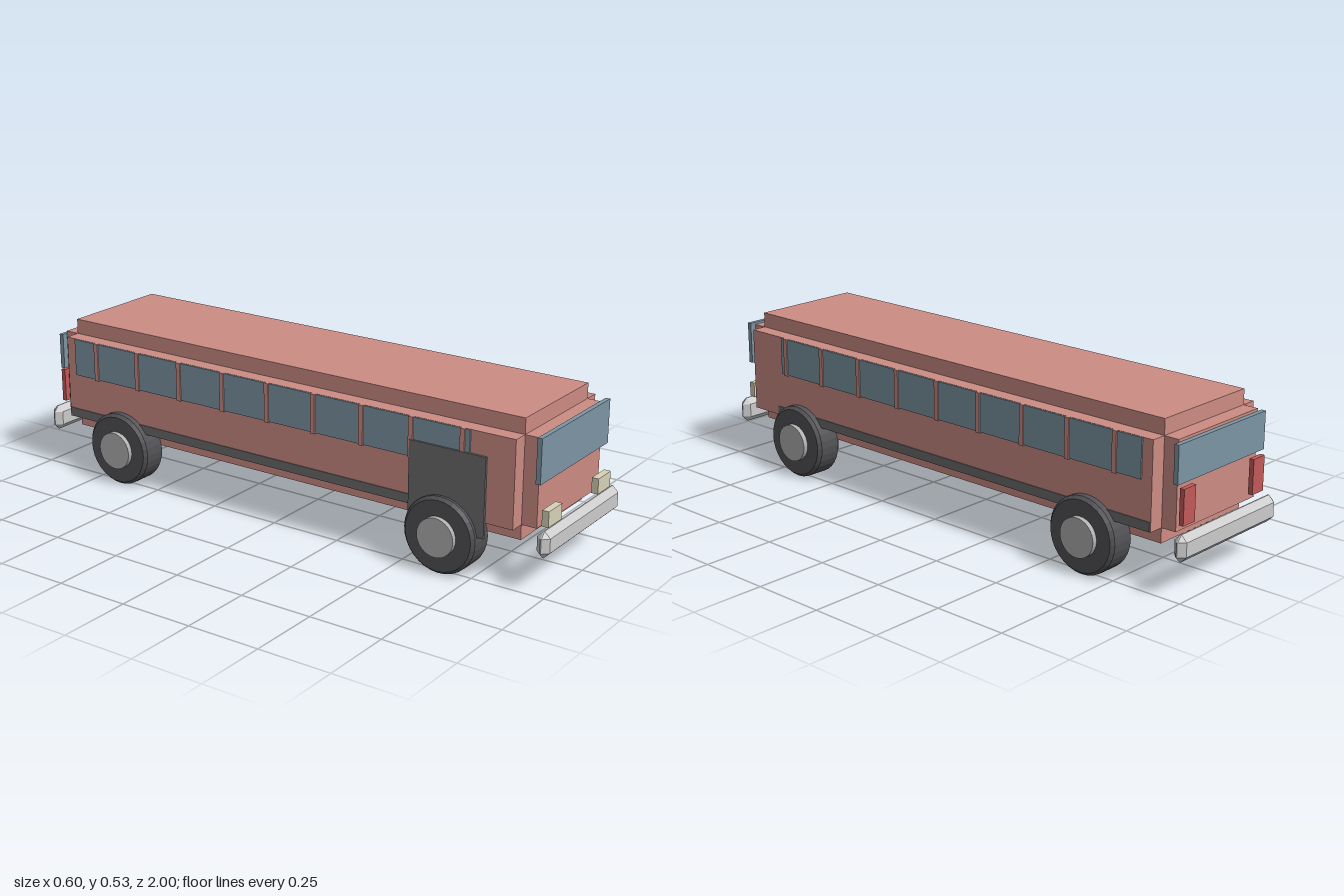
import * as THREE from 'three';
import { ConvexGeometry } from 'three/addons/geometries/ConvexGeometry.js';

const mat = (color) => new THREE.MeshStandardMaterial({ color, flatShading: true });
const paint = mat(0xcc8c84), glass = mat(0x7c95a4), trim = mat(0x6b6b6e), chrome = mat(0xc8c8c4);
const rubber = mat(0x525256), hubMetal = mat(0xb0b0b0), lampGlass = mat(0xd8d2b8), redGlass = mat(0xc25a5a);

// Box given by its minimum and maximum on each axis
function block(name, material, [x0, x1], [y0, y1], [z0, z1]) {
  const mesh = new THREE.Mesh(new THREE.BoxGeometry(x1 - x0, y1 - y0, z1 - z0), material);
  mesh.position.set((x0 + x1) / 2, (y0 + y1) / 2, (z0 + z1) / 2);
  mesh.name = name;
  return mesh;
}

// Box with every edge and corner chamfered by c; w, h, d are half sizes
function chamferedBox(w, h, d, c) {
  const points = [];
  for (const x of [-1, 1]) for (const y of [-1, 1]) for (const z of [-1, 1]) {
    points.push(
      new THREE.Vector3(x * (w - c), y * (h - c), z * d),
      new THREE.Vector3(x * (w - c), y * h, z * (d - c)),
      new THREE.Vector3(x * w, y * (h - c), z * (d - c)));
  }
  return new ConvexGeometry(points);
}

// Chamfered tyre with a protruding hub on its outer side
function createWheel(side, z) {
  const wheel = new THREE.Group();
  wheel.name = 'wheel';
  const profile = [[0, -0.049], [0.117, -0.049], [0.127, -0.038], [0.127, 0.038], [0.117, 0.049], [0, 0.049]];
  const tyre = new THREE.Mesh(
    new THREE.LatheGeometry(profile.map(([r, y]) => new THREE.Vector2(r, y)), 32), rubber);
  tyre.name = 'tyre';
  const hub = new THREE.Mesh(new THREE.CylinderGeometry(0.065, 0.065, 0.03, 32), hubMetal);
  hub.name = 'hub';
  hub.position.y = 0.051;
  wheel.add(tyre, hub);
  wheel.rotation.z = -side * Math.PI / 2;
  wheel.position.set(side * 0.236, 0.127, z);
  return wheel;
}

export function createModel() {
  const bus = new THREE.Group();
  bus.name = 'bus';

  // Body: three crossing boxes leave stepped edges all round
  bus.add(
    block('bodyRoofAndFloor', paint, [-0.2, 0.2], [0.145, 0.535], [-0.888, 0.888]),
    block('bodySides', paint, [-0.253, 0.253], [0.195, 0.483], [-0.888, 0.888]),
    block('bodyEnds', paint, [-0.2, 0.2], [0.195, 0.483], [-0.94, 0.94]));

  // End windows
  bus.add(
    block('windshield', glass, [-0.22, 0.22], [0.344, 0.49], [0.94, 0.956]),
    block('rearWindow', glass, [-0.22, 0.22], [0.35, 0.474], [-0.956, -0.94]));

  for (const side of [-1, 1]) {
    const span = (a, b) => (side > 0 ? [a, b] : [-b, -a]);

    // Side window band, pillars and lower trim strip
    bus.add(block('sideWindows', glass, span(0.25, 0.258), [0.353, 0.482], [-0.85, 0.735]));
    for (let i = 0; i < 9; i++) {
      const z = 0.71 - i * 0.1826;
      bus.add(block('windowPillar', paint, span(0.25, 0.262), [0.35, 0.483], [z - 0.008, z + 0.008]));
    }
    bus.add(block('sideTrim', trim, span(0.25, 0.256), [0.196, 0.227], [-0.885, 0.765]));

    // Lamps
    bus.add(
      block('headlight', lampGlass, span(0.12, 0.203), [0.208, 0.26], [0.957, 0.98]),
      block('taillight', redGlass, span(0.148, 0.205), [0.222, 0.338], [-0.97, -0.954]));

    for (const z of [-0.647, 0.647]) bus.add(createWheel(side, z));
  }

  // Entrance door on one side only
  bus.add(block('door', trim, [-0.264, -0.256], [0.146, 0.41], [0.525, 0.795]));

  // Bumpers
  for (const end of [-1, 1]) {
    const bumper = new THREE.Mesh(chamferedBox(0.245, 0.0435, 0.022, 0.02), chrome);
    bumper.name = end > 0 ? 'frontBumper' : 'rearBumper';
    bumper.position.set(0, 0.1615, end * 0.978);
    bus.add(bumper);
  }
  return bus;
}
